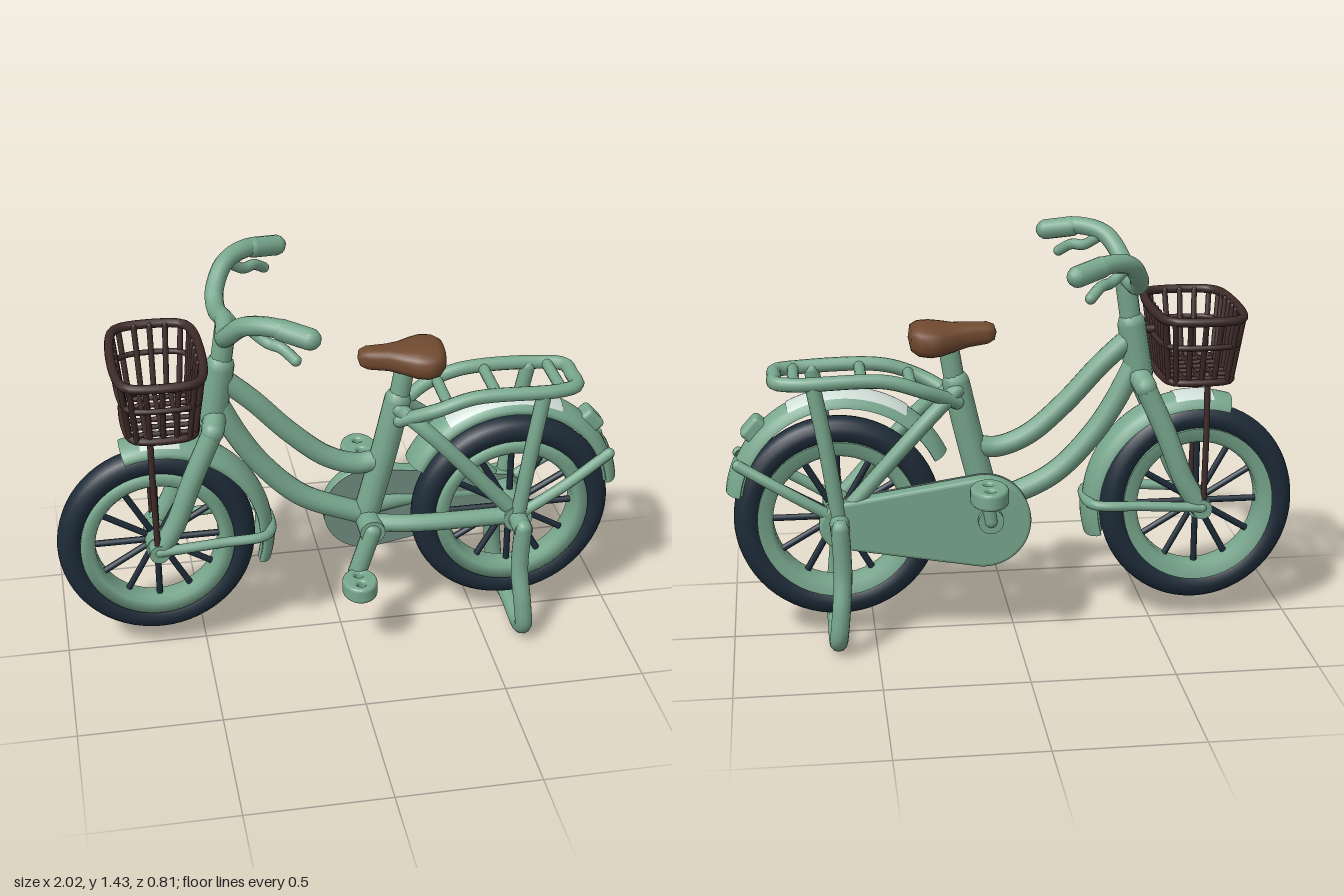
import * as THREE from 'three';
import { RoundedBoxGeometry } from 'three/addons/geometries/RoundedBoxGeometry.js';

const mat = (name, color, side = THREE.FrontSide) => {
  const m = new THREE.MeshStandardMaterial({ color, side });
  m.name = name;
  return m;
};

export function createModel() {
  const green = mat('sageGreen', 0x78a78d, THREE.DoubleSide);
  const grey = mat('greyGreen', 0x6f8b80, THREE.DoubleSide);
  const navy = mat('darkNavy', 0x1d2b38);
  const wire = mat('darkBrown', 0x3d2a28);
  const leather = mat('saddleBrown', 0x714a30);
  const pale = mat('paleMint', 0xd0ded8, THREE.DoubleSide);
  const bike = new THREE.Group();
  bike.name = 'bicycle';

  const add = (name, geo, material, parent = bike) => {
    const m = new THREE.Mesh(geo, material);
    m.name = name;
    parent.add(m);
    return m;
  };
  const group = (name) => {
    const g = new THREE.Group();
    g.name = name;
    bike.add(g);
    return g;
  };
  // Smooth round tube through points, with ball ends
  const tube = (name, pts, r, material = green, parent = bike, closed = false) => {
    const v = pts.map((p) => new THREE.Vector3(...p));
    const curve = new THREE.CatmullRomCurve3(v, closed);
    const segs = pts.length === 2 ? 1 : pts.length * 6;
    add(name, new THREE.TubeGeometry(curve, segs, r, 12, closed), material, parent);
    if (!closed) for (const end of [v[0], v[v.length - 1]]) {
      add(name + 'End', new THREE.SphereGeometry(r, 12, 8), material, parent).position.copy(end);
    }
  };
  // The same tube on both sides of the bike
  const tubePair = (name, pts, r, material = green) => {
    for (const s of [1, -1]) tube(name + (s > 0 ? 'Front' : 'Back'), pts.map(([x, y, z]) => [x, y, z * s]), r, material);
  };
  // Cylinder across the bike from z0 to z1
  const axle = (name, x, y, z0, z1, r, parent = bike) => {
    const m = add(name, new THREE.CylinderGeometry(r, r, z1 - z0, 20).rotateX(Math.PI / 2), green, parent);
    m.position.set(x, y, (z0 + z1) / 2);
  };
  // Ring swept about the z axis between two angles in degrees
  const sweep = (profile, from = 0, to = 360) => new THREE.LatheGeometry(
    profile.map(([r, z]) => new THREE.Vector2(r, z)), 48,
    THREE.MathUtils.degToRad(from + 90), THREE.MathUtils.degToRad(to - from)).rotateX(Math.PI / 2);

  // Wheels
  const wheel = (name, x, sx) => {
    const g = group(name);
    g.position.set(x, 0.447, 0);
    g.scale.x = sx;
    add('tyre', new THREE.TorusGeometry(0.317, 0.051, 16, 64), navy, g);
    add('rim', sweep([[0.285, -0.052], [0.285, 0.052], [0.245, 0.045], [0.23, 0.03], [0.23, -0.03], [0.245, -0.045], [0.285, -0.052]]), green, g);
    for (let i = 0; i < 12; i++) {
      const a = (i * Math.PI) / 6;
      const s = add('spoke', new THREE.CylinderGeometry(0.012, 0.012, 0.22, 8), navy, g);
      s.position.set(Math.sin(a) * 0.135, Math.cos(a) * 0.135, 0);
      s.rotation.z = -a;
    }
    axle('hub', 0, 0, -0.07, 0.07, 0.045, g);
  };
  wheel('frontWheel', -0.66, 0.95);
  wheel('rearWheel', 0.62, 0.99);

  // Mudguards with end flaps and pale top panels
  const arch = (w, r, drop, from = 0, to = 1) => {
    const pts = [];
    for (let i = 0; i <= 10; i++) {
      const t = Math.PI * (from + ((to - from) * i) / 10);
      pts.push([r - drop * (1 - Math.sin(t)), -w * Math.cos(t)]);
    }
    return pts;
  };
  const shell = (w, r) => {
    const outer = arch(w, r, 0.05);
    return [...outer, ...arch(w - 0.012, r - 0.018, 0.035).reverse(), outer[0]];
  };
  const guard = (name, x, y, range, flap, panel) => {
    const g = group(name);
    g.position.set(x, y, 0);
    add('guard', sweep(shell(0.078, 0.402), ...range), green, g);
    add('flap', sweep(shell(0.088, 0.41), ...flap), green, g);
    add('topPanel', sweep(arch(0.078, 0.405, 0.05, 0.2, 0.8), ...panel), pale, g);
  };
  guard('frontMudguard', -0.65, 0.46, [-14, 108], [-16, 4], [78, 98]);
  guard('rearMudguard', 0.60, 0.51, [8, 155], [7, 26], [62, 125]);
  const lamp = add('rearReflector', new RoundedBoxGeometry(0.065, 0.09, 0.08, 3, 0.018), green);
  lamp.position.set(0.9, 0.78, 0);
  lamp.rotation.z = 0.73;

  // Frame
  tube('headTube', [[-0.415, 1.11, 0], [-0.445, 0.93, 0]], 0.05);
  tube('stem', [[-0.415, 1.1, 0], [-0.39, 1.27, 0]], 0.037);
  tube('upperTube', [[-0.42, 1.07, 0], [-0.31, 0.97, 0], [-0.18, 0.83, 0], [-0.05, 0.72, 0], [0.06, 0.68, 0], [0.14, 0.69, 0]], 0.038);
  tube('lowerTube', [[-0.43, 0.97, 0], [-0.36, 0.83, 0], [-0.28, 0.71, 0], [-0.14, 0.57, 0], [0.08, 0.47, 0]], 0.04);
  tube('seatTube', [[0.09, 0.46, 0], [0.15, 0.7, 0], [0.2, 0.92, 0]], 0.048);
  tube('seatPost', [[0.2, 0.9, 0], [0.225, 1.05, 0]], 0.036);
  tube('forkCrown', [[-0.455, 0.9, 0.075], [-0.44, 0.93, 0], [-0.455, 0.9, -0.075]], 0.04);
  tubePair('forkLeg', [[-0.455, 0.9, 0.075], [-0.53, 0.73, 0.085], [-0.6, 0.55, 0.09], [-0.66, 0.45, 0.09]], 0.037);
  axle('frontAxle', -0.66, 0.455, -0.125, 0.125, 0.035);
  tube('frontMudguardStay', [[-0.66, 0.46, 0.115], [-0.45, 0.475, 0.115], [-0.28, 0.48, 0.1], [-0.255, 0.48, 0], [-0.28, 0.48, -0.1], [-0.45, 0.475, -0.115], [-0.66, 0.46, -0.115]], 0.018);
  tubePair('chainStay', [[0.09, 0.46, 0.05], [0.25, 0.465, 0.09], [0.62, 0.465, 0.1]], 0.032);
  tubePair('seatStay', [[0.2, 0.9, 0.03], [0.3, 0.82, 0.085], [0.62, 0.47, 0.1]], 0.028);
  tubePair('rearMudguardStay', [[0.62, 0.47, 0.115], [0.8, 0.58, 0.11], [0.96, 0.67, 0.075]], 0.02);
  axle('rearAxle', 0.62, 0.465, -0.21, 0.21, 0.034);
  axle('rearAxleBoss', 0.62, 0.465, -0.13, 0.13, 0.052);

  // Centre stand
  tube('stand', [[0.62, 0.47, 0.2], [0.615, 0.3, 0.2], [0.625, 0.17, 0.225], [0.635, 0.07, 0.22], [0.637, 0.037, 0.17], [0.637, 0.045, 0],
    [0.637, 0.037, -0.17], [0.635, 0.07, -0.22], [0.625, 0.17, -0.225], [0.615, 0.3, -0.2], [0.62, 0.47, -0.2]], 0.032);

  // Luggage rack
  tube('rackRail', [[0.2, 0.86, 0.04], [0.32, 0.92, 0.1], [0.45, 0.962, 0.11], [0.75, 0.962, 0.11], [0.82, 0.962, 0.08], [0.825, 0.962, 0],
    [0.82, 0.962, -0.08], [0.75, 0.962, -0.11], [0.45, 0.962, -0.11], [0.32, 0.92, -0.1], [0.2, 0.86, -0.04]], 0.025);
  for (const [x, y] of [[0.36, 0.935], [0.53, 0.962], [0.76, 0.962]]) tube('rackCrossbar', [[x, y, 0.105], [x, y, -0.105]], 0.02);
  tubePair('rackLeg', [[0.695, 0.95, 0.11], [0.66, 0.75, 0.12], [0.62, 0.47, 0.12]], 0.027);

  // Handlebar and brake levers
  const half = [[-0.41, 1.27, 0.11], [-0.405, 1.31, 0.18], [-0.36, 1.375, 0.25], [-0.28, 1.395, 0.31], [-0.16, 1.372, 0.372]];
  tube('handlebar', [...half.map(([x, y, z]) => [x, y, -z]).reverse(), [-0.395, 1.28, 0], ...half], 0.032);
  tubePair('grip', [[-0.25, 1.39, 0.325], [-0.165, 1.372, 0.37]], 0.036);
  tubePair('brakeLever', [[-0.34, 1.365, 0.26], [-0.29, 1.33, 0.29], [-0.25, 1.325, 0.325], [-0.21, 1.295, 0.36]], 0.019);

  // Saddle, lofted along x: [x, half width, centre height, half height]
  const rows = [[0.058, 0.002, 1.097, 0.002], [0.066, 0.03, 1.097, 0.026], [0.09, 0.042, 1.095, 0.037], [0.16, 0.05, 1.09, 0.042], [0.21, 0.075, 1.083, 0.047],
    [0.25, 0.1, 1.08, 0.054], [0.29, 0.115, 1.08, 0.057], [0.33, 0.1, 1.082, 0.055], [0.355, 0.065, 1.085, 0.042], [0.364, 0.002, 1.088, 0.002]];
  const n = 24, pos = [], idx = [];
  rows.forEach(([x, w, y, h], i) => {
    for (let j = 0; j < n; j++) {
      const a = (j / n) * Math.PI * 2, c = Math.cos(a), s = Math.sin(a);
      pos.push(x, y + h * Math.sign(s) * Math.abs(s) ** 0.75, w * Math.sign(c) * Math.abs(c) ** 0.75);
      if (i) {
        const k = (j + 1) % n, p = (i - 1) * n, q = i * n;
        idx.push(p + j, p + k, q + j, p + k, q + k, q + j);
      }
    }
  });
  const saddle = new THREE.BufferGeometry();
  saddle.setAttribute('position', new THREE.Float32BufferAttribute(pos, 3));
  saddle.setIndex(idx);
  saddle.computeVertexNormals();
  leather.side = THREE.DoubleSide;
  add('saddle', saddle, leather);

  // Chain case on the far side
  const r1 = 0.165, r2 = 0.085, beta = Math.acos((r1 - r2) / 0.49);
  const outline = new THREE.Shape();
  outline.absarc(0.115, 0.442, r1, beta, Math.PI * 2 - beta, false);
  outline.absarc(0.605, 0.45, r2, -beta, beta, false);
  outline.closePath();
  add('chainCase', new THREE.ExtrudeGeometry(outline, { depth: 0.03, bevelThickness: 0.015, bevelSize: 0.012, bevelOffset: -0.012, bevelSegments: 3, curveSegments: 24 }), green).position.z = -0.118;
  add('chainCaseInnerFace', new THREE.ShapeGeometry(outline, 24), grey).position.z = -0.07;

  // Cranks and pedals
  axle('crankAxle', 0.095, 0.455, -0.155, 0.115, 0.045);
  tube('crankArmFront', [[0.095, 0.455, 0.1], [0.04, 0.28, 0.1]], 0.034);
  tube('crankArmBack', [[0.095, 0.455, -0.145], [0.115, 0.58, -0.15]], 0.024);
  const pedal = (name, x, y, z, hx, hz) => {
    const s = new THREE.Shape().absellipse(0, 0, hx, hz, 0, Math.PI * 2);
    for (const side of [1, -1]) s.holes.push(new THREE.Path().absarc(0, side * hz * 0.38, 0.015, 0, Math.PI * 2, true));
    const geo = new THREE.ExtrudeGeometry(s, { depth: 0.036, bevelThickness: 0.012, bevelSize: 0.012, bevelOffset: -0.012, bevelSegments: 3, curveSegments: 20 });
    add(name, geo.translate(0, 0, -0.018).rotateX(Math.PI / 2), green).position.set(x, y, z);
  };
  pedal('pedalFront', 0.037, 0.28, 0.18, 0.062, 0.075);
  pedal('pedalBack', 0.11, 0.585, -0.24, 0.066, 0.09);

  // Wire basket; t runs from the floor (0) to the rim (1)
  const basket = group('basket');
  const lerp = THREE.MathUtils.lerp;
  const at = (u, v, t) => [-0.63 + u * lerp(0.11, 0.135, t), lerp(0.94, 1.17, t), v * lerp(0.17, 0.228, t)];
  const ring = (name, t, r) => tube(name, [[1, 0.82], [0.75, 1], [-0.75, 1], [-1, 0.82], [-1, -0.82], [-0.75, -1], [0.75, -1], [1, -0.82]]
    .map(([u, v]) => at(u, v, t)), r, wire, basket, true);
  ring('basketRim', 1, 0.016);
  ring('basketMiddleRing', 0.58, 0.01);
  ring('basketFloorRing', 0, 0.013);
  for (const s of [1, -1]) {
    for (let i = 0; i < 5; i++) tube('basketWire', [at(-0.8 + i * 0.4, s, 0), at(-0.8 + i * 0.4, s, 1)], 0.01, wire, basket);
    for (let i = 0; i < 8; i++) tube('basketWire', [at(s, -0.84 + i * 0.24, 0), at(s, -0.84 + i * 0.24, 1)], 0.01, wire, basket);
  }
  for (let i = 0; i < 6; i++) tube('basketFloorWire', [at(-1, -0.75 + i * 0.3, 0), at(1, -0.75 + i * 0.3, 0)], 0.009, wire, basket);
  for (let i = 0; i < 3; i++) tube('basketFloorWire', [at(-0.5 + i * 0.5, -1, 0), at(-0.5 + i * 0.5, 1, 0)], 0.009, wire, basket);
  tubePair('basketSupport', [[-0.67, 0.94, 0.09], [-0.67, 0.75, 0.1], [-0.665, 0.46, 0.11]], 0.011, wire);
  tube('basketBracket', [[-0.5, 1.09, 0], [-0.42, 1.09, 0]], 0.016, wire);

  return bike;
}
